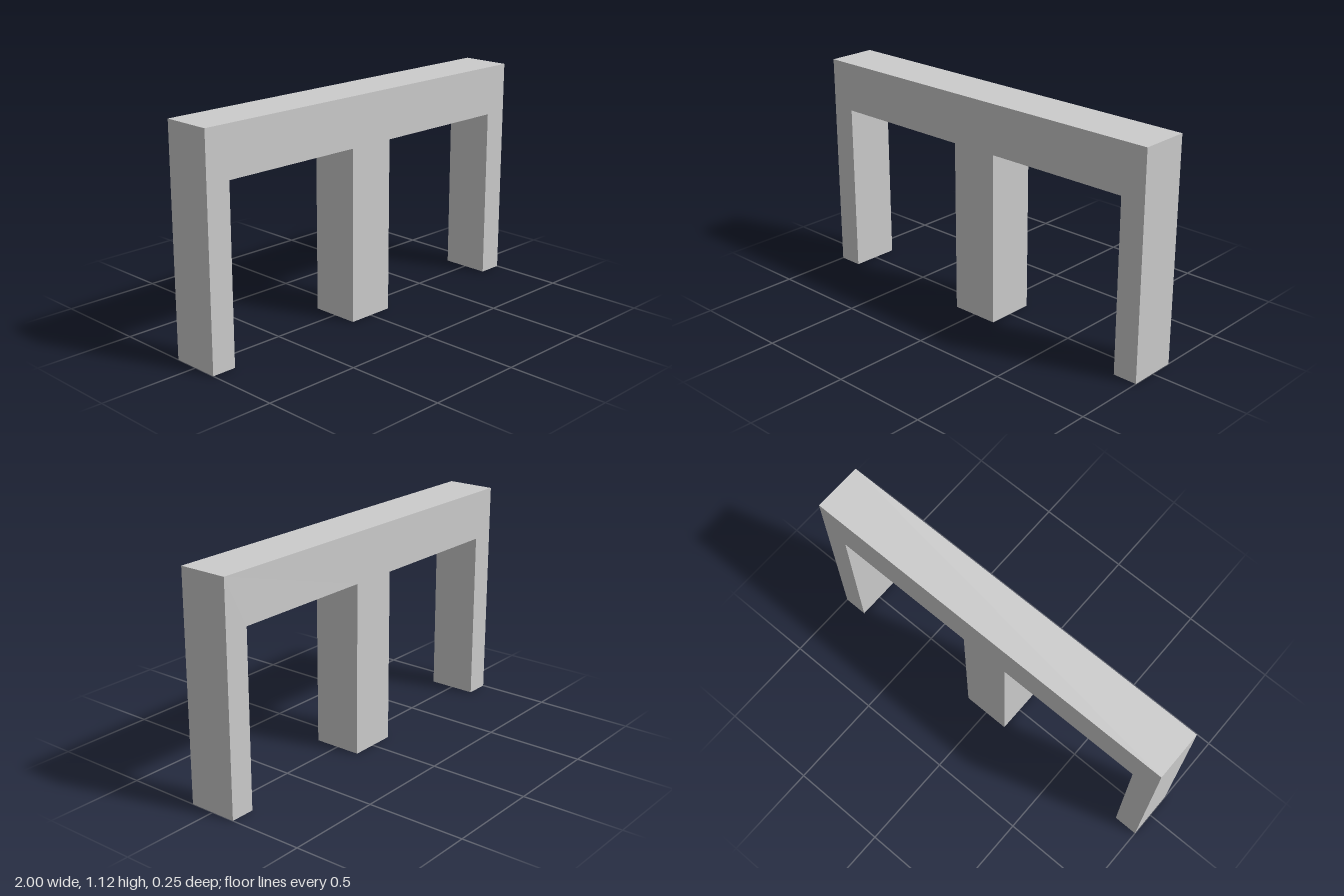
import * as THREE from 'three';

const HALF_WIDTH = 1, HEIGHT = 1.125, DEPTH = 0.25;
const LEG_HEIGHT = 0.875, PILLAR = 0.125; // outer leg width = half the centre pillar's width

export function createModel() {
  const group = new THREE.Group();
  group.name = 'doubleArch';

  // One solid outline: beam on two outer legs and a centre pillar
  const right = [
    [PILLAR, 0], [PILLAR, LEG_HEIGHT],
    [HALF_WIDTH - PILLAR, LEG_HEIGHT], [HALF_WIDTH - PILLAR, 0],
    [HALF_WIDTH, 0], [HALF_WIDTH, HEIGHT],
  ];
  const left = right.map(([x, y]) => [-x, y]).reverse();
  const outline = new THREE.Shape([...right, ...left].map(([x, y]) => new THREE.Vector2(x, y)));

  const geometry = new THREE.ExtrudeGeometry(outline, { depth: DEPTH, bevelEnabled: false });
  geometry.translate(0, 0, -DEPTH / 2);

  const frame = new THREE.Mesh(
    geometry,
    new THREE.MeshStandardMaterial({ color: 0xcccccc, flatShading: true })
  );
  frame.name = 'archFrame';
  group.add(frame);
  return group;
}
